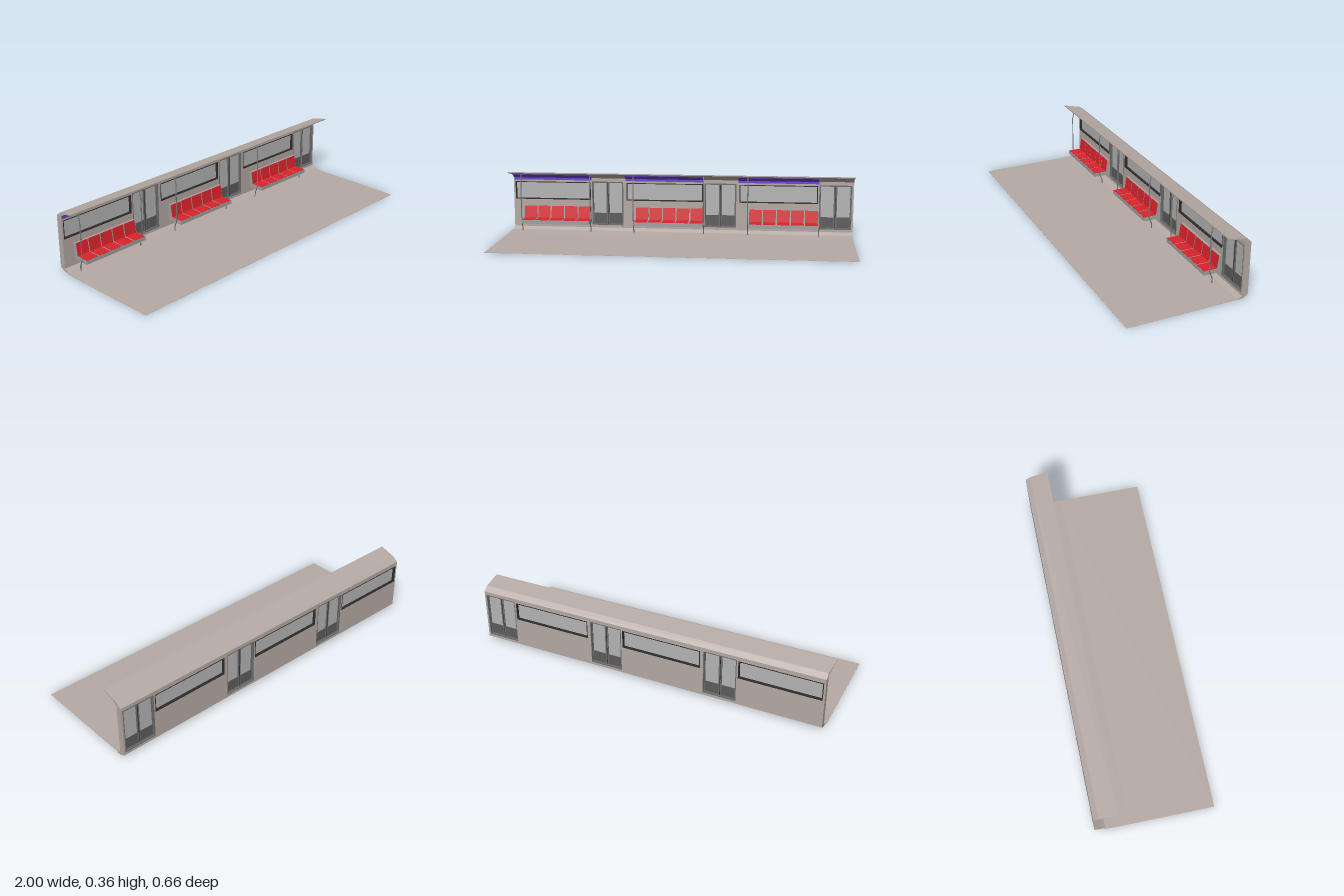
import * as THREE from 'three';

const mat = (color) => new THREE.MeshStandardMaterial({ color, flatShading: true, side: THREE.DoubleSide });
const TAN = mat(0xb5a9a3), GREY = mat(0xa0a0a0), GLASS = mat(0xb4b4b4), DARK = mat(0x2c2c2c);
const FRAME = mat(0x6c6c6c), PANEL = mat(0x5c5c5c), RED = mat(0xd8232a), PURPLE = mat(0x6a3fd0), STEEL = mat(0x777777);

const X0 = -0.99, X1 = 0.995;          // ends of the wall
const IN = -0.295, OUT = -0.328;       // inner and outer wall faces
const MID = (IN + OUT) / 2;
const PITCH = 0.661;                   // length of one repeated bay

function add(parent, name, geometry, material) {
  const mesh = new THREE.Mesh(geometry, material);
  mesh.name = name;
  parent.add(mesh);
  return mesh;
}

// Cross-section of [z, y] points swept along x from a to b
function sweep(points, a, b) {
  const shape = new THREE.Shape(points.map(([z, y]) => new THREE.Vector2(-z, y)));
  return new THREE.ExtrudeGeometry(shape, { depth: b - a, bevelEnabled: false }).rotateY(Math.PI / 2).translate(a, 0, 0);
}

function rect(Type, x0, x1, y0, y1) {
  return new Type([[x0, y0], [x1, y0], [x1, y1], [x0, y1]].map(([x, y]) => new THREE.Vector2(x, y)));
}

function box(x0, x1, y0, y1, z, depth) {
  return new THREE.BoxGeometry(x1 - x0, y1 - y0, depth).translate((x0 + x1) / 2, (y0 + y1) / 2, z);
}

// Rectangular ring of width t, from z = back forward by depth
function ring(x0, x1, y0, y1, t, back, depth) {
  const shape = rect(THREE.Shape, x0, x1, y0, y1);
  shape.holes.push(rect(THREE.Path, x0 + t, x1 - t, y0 + t, y1 - t));
  return new THREE.ExtrudeGeometry(shape, { depth, bevelEnabled: false }).translate(0, 0, back);
}

const WINDOW = [-0.98, -0.53, 0.185, 0.29];
const DOOR = [-0.522, -0.337, 0.037, 0.295];
const shift = ([x0, x1, y0, y1], dx) => [x0 + dx, x1 + dx, y0, y1];

function makeWindow(dx) {
  const g = new THREE.Group();
  g.name = 'window';
  const [x0, x1, y0, y1] = shift(WINDOW, dx);
  add(g, 'windowFrame', ring(x0, x1, y0, y1, 0.005, OUT, IN - OUT), DARK);
  add(g, 'windowPane', box(x0, x1, y0, y1, MID, 0.004), GLASS);
  return g;
}

function makeDoor(dx) {
  const g = new THREE.Group();
  g.name = 'door';
  const [x0, x1, y0, y1] = shift(DOOR, dx);
  add(g, 'doorFrame', ring(x0, x1, y0, y1, 0.005, OUT, IN - OUT), FRAME);
  const w = (x1 - x0) / 2;
  for (let i = 0; i < 2; i++) {
    const a = x0 + i * w, b = a + w;
    add(g, 'doorLeafFrame', ring(a, b, y0, y1, 0.009, MID - 0.007, 0.014), FRAME);
    add(g, 'doorGlass', box(a, b, 0.107, y1, MID, 0.006), GLASS);
    add(g, 'doorLowerPanel', box(a, b, y0, 0.107, MID, 0.011), PANEL);
  }
  add(g, 'doorSeam', box(x0 + w - 0.0015, x0 + w + 0.0015, y0, y1, MID, 0.016), DARK);
  return g;
}

function makeBench(dx) {
  const g = new THREE.Group();
  g.name = 'bench';
  const a = -0.925 + dx, b = -0.525 + dx;
  add(g, 'benchBase', sweep([[-0.195, 0.055], [IN, 0.055], [IN, 0.148], [-0.28, 0.148], [-0.27, 0.077], [-0.195, 0.077]], a, b), GREY);
  // Folded seat pad: cushion and backrest in one strip
  const pad = [[-0.196, 0.0765], [-0.196, 0.0785], [-0.268, 0.0785], [-0.278, 0.148], [-0.281, 0.148], [-0.271, 0.0765]];
  for (let i = 0; i < 5; i++) add(g, 'seat', sweep(pad, a + i * 0.08 + 0.0035, a + i * 0.08 + 0.0765), RED);
  return g;
}

function makePole(x) {
  const points = [[0.005, -0.241], [0.035, -0.241], [0.068, -0.226], [0.085, -0.224], [0.29, -0.224], [0.305, -0.227], [0.344, -0.238]];
  const path = new THREE.CurvePath();
  const v = points.map(([y, z]) => new THREE.Vector3(x, y, z));
  for (let i = 1; i < v.length; i++) path.add(new THREE.LineCurve3(v[i - 1], v[i]));
  return new THREE.TubeGeometry(path, 40, 0.003, 8);
}

export function createModel() {
  const model = new THREE.Group();
  model.name = 'trainCarriageSection';

  // Floor sheet, tapering to its open front edge
  add(model, 'floor', sweep([[0.33, 0], [0.33, 0.001], [-0.14, 0.0025], [-0.27, 0.007], [-0.27, 0.004], [-0.14, 0.001]], -0.995, 0.99), TAN);
  // Chamfered skirt joining floor and wall
  add(model, 'skirt', sweep([[-0.27, 0.004], [-0.302, 0.007], [OUT, 0.022], [IN, 0.022], [-0.27, 0.007]], X0, X1), TAN);

  // Roof lip, its left end flaring slightly outward
  const roof = sweep([[OUT, 0.315], [-0.3, 0.337], [-0.2, 0.358], [-0.2, 0.352], [-0.265, 0.336], [IN, 0.315]], X0, X1);
  const p = roof.attributes.position;
  for (let i = 0; i < p.count; i++) {
    if (p.getX(i) < 0 && p.getZ(i) > -0.21) p.setX(i, -1);
  }
  roof.computeVertexNormals();
  add(model, 'roof', roof, TAN);

  // Side wall with openings
  const wall = rect(THREE.Shape, X0, X1, 0.022, 0.315);
  for (let i = 0; i < 3; i++) {
    for (const opening of [WINDOW, DOOR]) wall.holes.push(rect(THREE.Path, ...shift(opening, i * PITCH)));
  }
  add(model, 'wall', new THREE.ExtrudeGeometry(wall, { depth: IN - OUT, bevelEnabled: false }).translate(0, 0, OUT), TAN);

  // Repeated bays
  const strip = [[IN, 0.301], [IN + 0.002, 0.301], [IN + 0.002, 0.314], [-0.265, 0.334], [-0.265, 0.336], [IN, 0.315]];
  for (let i = 0; i < 3; i++) {
    const dx = i * PITCH;
    model.add(makeWindow(dx), makeDoor(dx), makeBench(dx));
    add(model, 'lightStrip', sweep(strip, -0.985 + dx, -0.525 + dx), PURPLE);
    for (const x of [-0.93, -0.523]) add(model, 'handPole', makePole(x + dx), STEEL);
  }
  return model;
}
